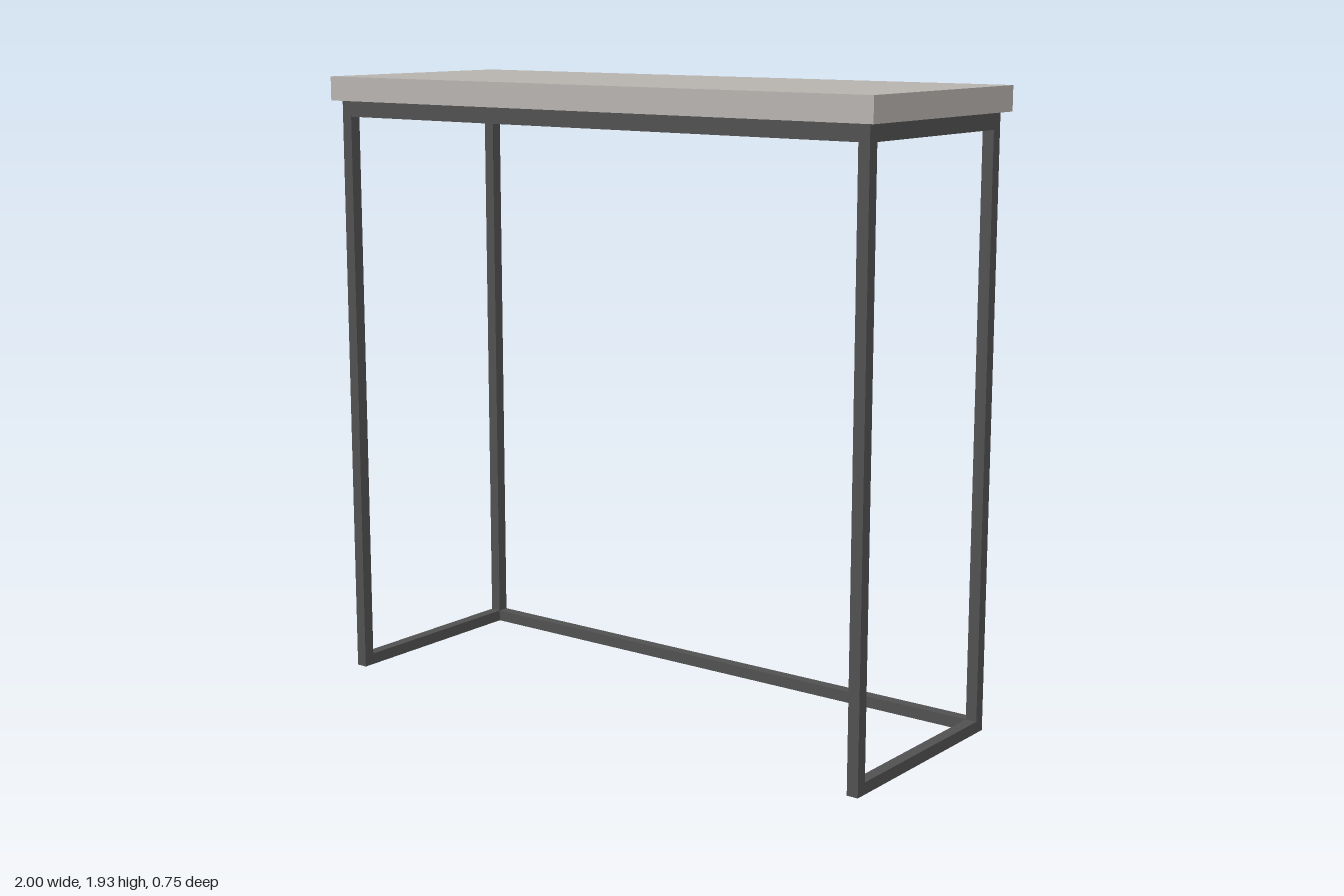
import * as THREE from 'three';

export function createModel() {
  const model = new THREE.Group();
  model.name = 'consoleTable';
  const stone = new THREE.MeshStandardMaterial({ color: 0xb9b5b1 });
  stone.name = 'warm grey top';
  const steel = new THREE.MeshStandardMaterial({ color: 0x525252 });
  steel.name = 'dark grey steel';

  // Box given by its centre in x and z and its lowest and highest y
  function bar(name, width, depth, x, z, y0, y1, material = steel) {
    const mesh = new THREE.Mesh(new THREE.BoxGeometry(width, y1 - y0, depth), material);
    mesh.position.set(x, (y0 + y1) / 2, z);
    mesh.name = name;
    model.add(mesh);
  }

  const T = 0.036;                 // tube thickness
  const X = 0.975 - T / 2;         // tube centre lines
  const Z = 0.35 - T / 2;
  const TOP = 1.855, RAIL = 1.805; // upper rail limits
  const spanX = 2 * X - T, spanZ = 2 * Z - T;

  // Slab
  bar('tableTop', 2, 0.75, 0, 0, TOP, 1.93, stone);

  // Legs and side rails
  for (const [side, s] of [['left', 1], ['right', -1]]) {
    bar(side + 'FrontLeg', T, T, s * X, Z, 0, TOP);
    bar(side + 'BackLeg', T, T, s * X, -Z, 0, TOP);
    bar(side + 'UpperRail', T, spanZ, s * X, 0, RAIL, TOP);
    bar(side + 'FloorRail', T, spanZ, s * X, 0, 0, T);
  }

  // Long rails: two under the slab, one on the floor at the back
  bar('frontUpperRail', spanX, T, 0, Z, RAIL, TOP);
  bar('backUpperRail', spanX, T, 0, -Z, RAIL, TOP);
  bar('backFloorRail', spanX, T, 0, -Z, 0, T);

  return model;
}
